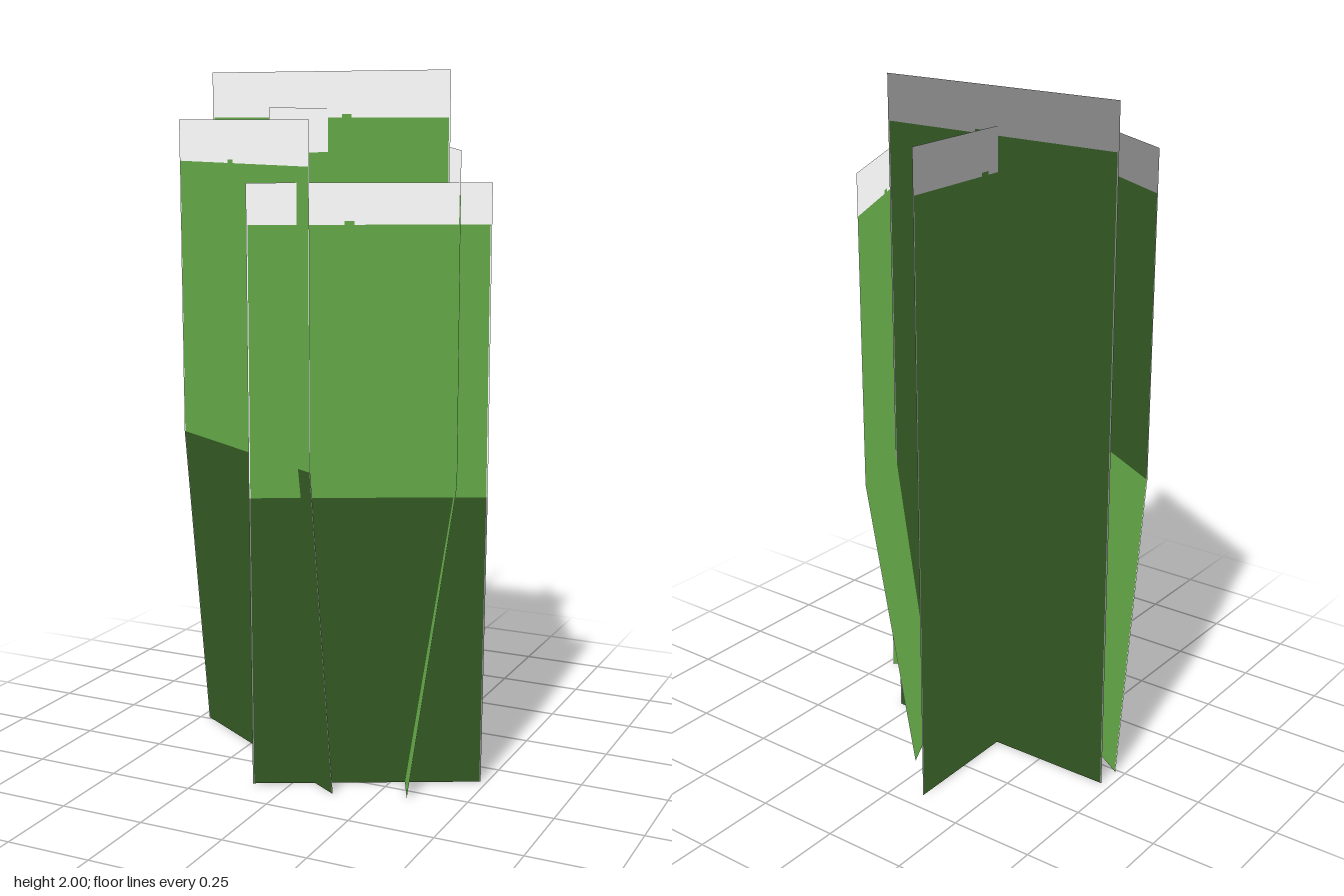
import * as THREE from 'three';

const green = new THREE.MeshStandardMaterial({ color: 0x57953f, side: THREE.DoubleSide });
green.name = 'leafGreen';
const grey = new THREE.MeshStandardMaterial({ color: 0xe6e6e6, side: THREE.DoubleSide });
grey.name = 'paleTip';

// Flat quads with foliage-style upward normals.
function sheet(name, quads, material) {
  const pos = [], normals = [], index = [];
  for (const quad of quads) {
    const i = pos.length / 3;
    for (const p of quad) {
      pos.push(p.x, p.y, p.z);
      normals.push(0, 1, 0);
    }
    index.push(i, i + 1, i + 2, i, i + 2, i + 3);
  }
  const geo = new THREE.BufferGeometry();
  geo.setAttribute('position', new THREE.Float32BufferAttribute(pos, 3));
  geo.setAttribute('normal', new THREE.Float32BufferAttribute(normals, 3));
  geo.setIndex(index);
  const mesh = new THREE.Mesh(geo, material);
  mesh.name = name;
  return mesh;
}

// A card running from end a to end b (x, z at the top); its lower half
// slopes to a foot moved by "lean". The green ends at "line" in a small nub
// and leaves a thin pale margin along both sides.
function card({ name, a, b, lean = [0, 0], top, line, nub }) {
  const bend = top / 2;
  const at = (u, y) => {
    const k = Math.max(0, 1 - y / bend);
    return new THREE.Vector3(
      a[0] + (b[0] - a[0]) * u + lean[0] * k,
      y,
      a[1] + (b[1] - a[1]) * u + lean[1] * k
    );
  };
  const quad = (u0, u1, y0, y1) => [at(u0, y0), at(u1, y0), at(u1, y1), at(u0, y1)];
  const n0 = nub - 0.02, n1 = nub + 0.02, peak = line + 0.01;
  const m0 = 0.006, m1 = 1 - m0;

  const leaf = [quad(m0, m1, 0, bend), quad(m0, m1, bend, line), quad(n0, n1, line, peak)];
  const tip = [quad(0, n0, line, top), quad(n0, n1, peak, top), quad(n1, 1, line, top)];
  const margin = [[0, m0], [m1, 1]].flatMap(([u0, u1]) => [
    quad(u0, u1, 0, bend), quad(u0, u1, bend, line),
  ]);

  const group = new THREE.Group();
  group.name = name;
  group.add(sheet('leaf', leaf, green), sheet('tip', tip, grey), sheet('margin', margin, grey));
  return group;
}

export function createModel() {
  const model = new THREE.Group();
  model.name = 'grassTuft';
  const cards = [
    // upright crossed pair
    { name: 'wideUprightCard', a: [-0.472, -0.085], b: [0.292, -0.085], top: 2, line: 1.868, nub: 0.58 },
    { name: 'deepUprightCard', a: [-0.09, 0.28], b: [-0.09, -0.447], top: 1.895, line: 1.77, nub: 0.58 },
    // outer cards with sloping feet
    { name: 'frontRightCard', a: [-0.51, 0.05], b: [0.1, 0.42], lean: [0.037, -0.06], top: 1.863, line: 1.743, nub: 0.42 },
    { name: 'frontLeftCard', a: [-0.073, 0.447], b: [0.51, 0.158], lean: [-0.028, -0.057], top: 1.7, line: 1.59, nub: 0.42 },
    { name: 'leftCard', a: [0.158, -0.378], b: [0.452, 0.24], lean: [-0.115, 0.06], top: 1.785, line: 1.668, nub: 0.43 },
  ];
  for (const c of cards) model.add(card(c));
  return model;
}
